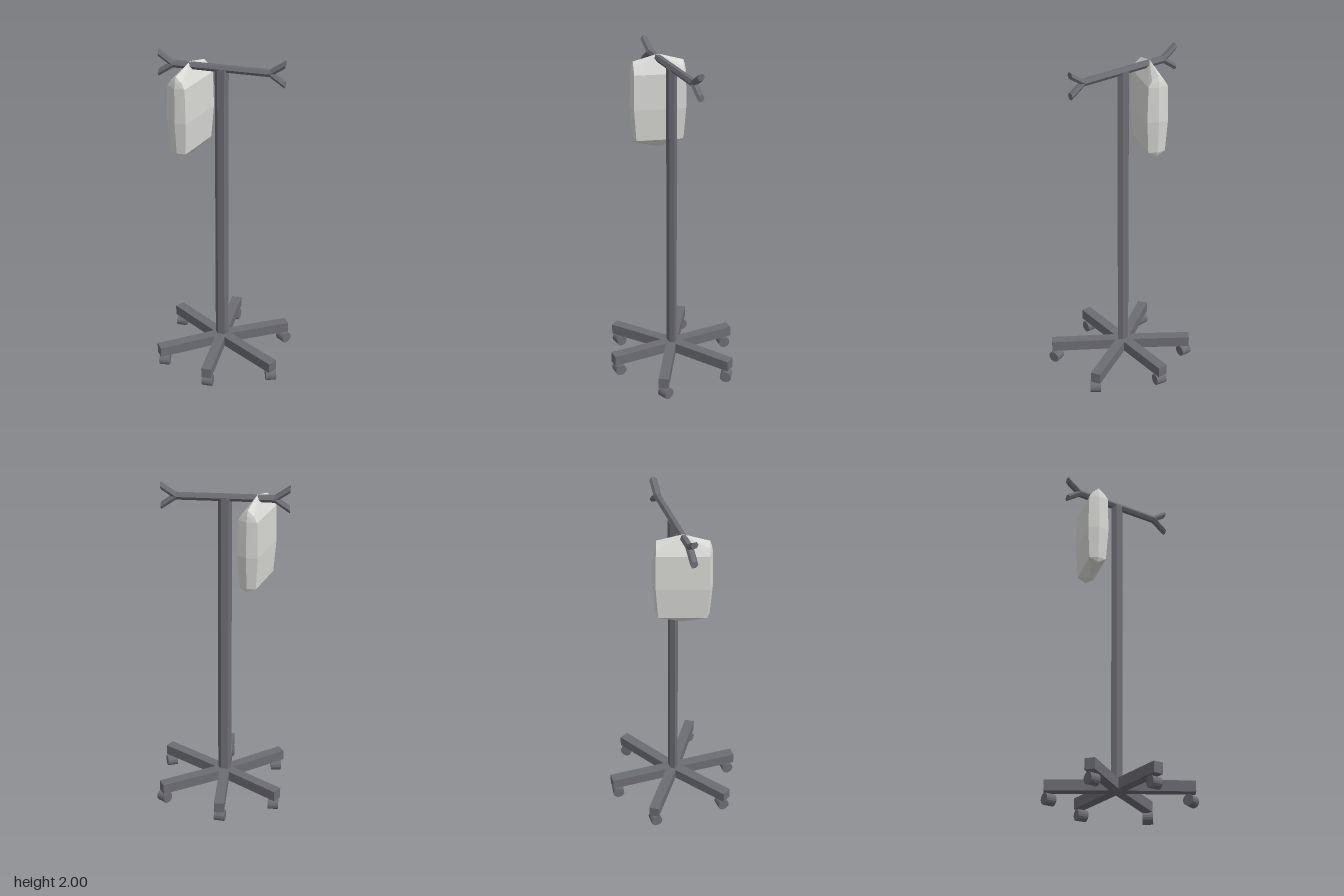
import * as THREE from 'three';
import { ConvexGeometry } from 'three/addons/geometries/ConvexGeometry.js';

const metal = new THREE.MeshStandardMaterial({ color: 0x6c6c73, flatShading: true });
metal.name = 'grey metal';
const plastic = new THREE.MeshStandardMaterial({ color: 0xd8d8d5, flatShading: true });
plastic.name = 'pale plastic';

const CX = -0.015; // pole axis
const BAR_Y = 1.922;

export function createModel() {
  const model = new THREE.Group();
  model.name = 'dripStand';

  const add = (name, geometry, material, x = 0, y = 0, z = 0, turn = 0) => {
    const mesh = new THREE.Mesh(geometry, material);
    mesh.name = name;
    mesh.position.set(x, y, z);
    mesh.rotation.y = turn;
    model.add(mesh);
    return mesh;
  };

  // Hexagonal pole, flattened front to back
  const pole = new THREE.CylinderGeometry(0.04, 0.04, 1.8, 6);
  pole.rotateY(Math.PI / 2).scale(1, 1, 0.7);
  add('pole', pole, metal, CX, 1.02, 0);

  // Hexagonal bar along x, sheared so that its ends stay upright
  const bar = (name, x0, x1, y0, y1) => {
    const g = new THREE.CylinderGeometry(0.022, 0.022, x1 - x0, 6);
    g.rotateZ(Math.PI / 2);
    const slope = (y1 - y0) / (x1 - x0);
    const p = g.attributes.position;
    for (let i = 0; i < p.count; i++) p.setY(i, p.getY(i) + slope * p.getX(i));
    g.computeVertexNormals();
    add(name, g, metal, (x0 + x1) / 2, (y0 + y1) / 2, 0);
  };

  // Crossbar with a forked hook at each end
  bar('crossbar', -0.29, 0.257, BAR_Y, BAR_Y);
  for (const s of [1, -1]) {
    const tip = BAR_Y + s * 0.06;
    bar('rightHook', -0.376, -0.29, tip, BAR_Y);
    bar('leftHook', 0.257, 0.343, BAR_Y, tip);
  }

  // Six legs: end x, end z, caster x, caster z, caster turn
  const legs = [
    [CX, 0.394, -0.015, 0.356, 0],
    [CX, -0.397, -0.018, -0.36, -0.13],
    [0.35, -0.213, 0.336, -0.195, -0.64],
    [0.357, 0.235, 0.34, 0.213, 0.34],
    [-0.352, 0.237, -0.322, 0.217, 0.08],
    [-0.352, -0.229, -0.327, -0.213, 0],
  ];
  const wheel = new THREE.CylinderGeometry(0.034, 0.034, 0.062, 16);
  wheel.rotateZ(Math.PI / 2);
  for (const [x, z, wx, wz, turn] of legs) {
    const length = Math.hypot(x - CX, z);
    const leg = new THREE.BoxGeometry(length, 0.064, 0.06);
    leg.translate(length / 2, 0, 0);
    add('leg', leg, metal, CX, 0.112, 0, Math.atan2(-z, x - CX));
    add('caster', wheel, metal, wx, 0.037, wz, turn);
  }

  // Faceted fluid bag: rings of height, tip reach, half length, half thickness
  const rings = [
    [1.435, 0.15, 0.135, 0.05],
    [1.63, 0.166, 0.147, 0.062],
    [1.84, 0.161, 0.145, 0.057],
    [1.875, 0.155, 0.143, 0.036],
  ];
  // Ridges along the top and bottom, peaked in the middle
  const points = [new THREE.Vector3(0, 1.945, 0), new THREE.Vector3(0, 1.375, 0)];
  for (const s of [1, -1]) {
    points.push(new THREE.Vector3(s * 0.145, 1.905, 0), new THREE.Vector3(s * 0.138, 1.408, 0));
    for (const [y, tip, a, b] of rings) {
      points.push(
        new THREE.Vector3(s * tip, y, 0),
        new THREE.Vector3(s * a, y, b),
        new THREE.Vector3(s * a, y, -b),
      );
    }
  }
  add('fluidBag', new ConvexGeometry(points), plastic, -0.196, 0, -0.003, 1.255);

  return model;
}
